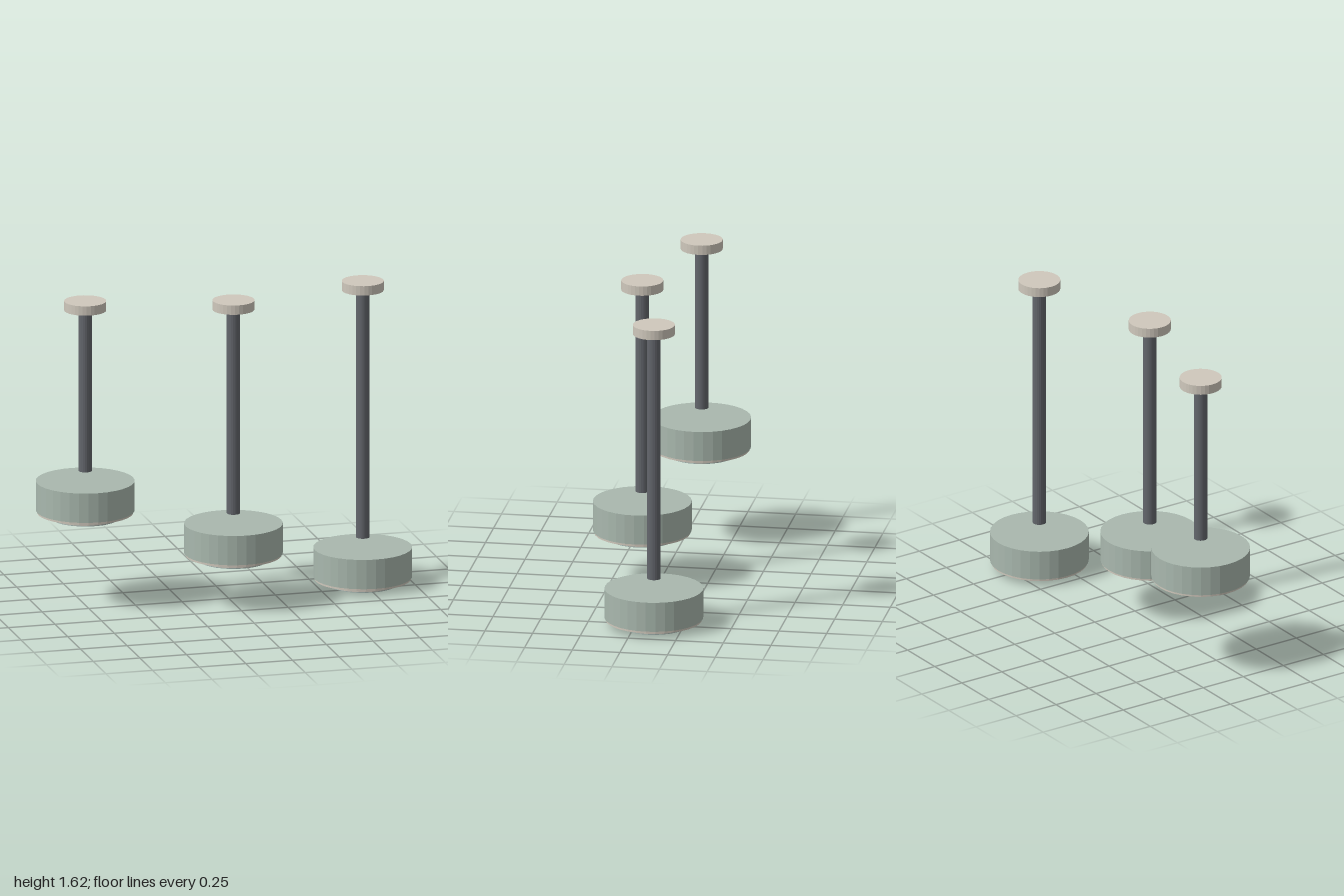
import * as THREE from 'three';

const material = (name, color) => {
  const m = new THREE.MeshStandardMaterial({ color, flatShading: true });
  m.name = name;
  return m;
};

export function createModel() {
  const sage = material('sage shade', 0xa9b8ae);
  const cream = material('warm cream', 0xcfc8bc);
  const graphite = material('graphite', 0x63666c);
  const glass = material('grey green lens', 0xa4b5b2);

  // Upright disc or rod between two heights
  const disc = (name, radius, bottom, top, mat, sides = 32) => {
    const mesh = new THREE.Mesh(
      new THREE.CylinderGeometry(radius, radius, top - bottom, sides), mat);
    mesh.name = name;
    mesh.position.y = (bottom + top) / 2;
    return mesh;
  };

  // One pendant: the shade hangs at its own height, the canopy stays level
  const pendant = (name, x, z, drop) => {
    const g = new THREE.Group();
    g.name = name;
    g.position.set(x, 0, z);
    g.add(
      disc('canopy', 0.109, 1.575, 1.625, cream),
      disc('rod', 0.035, drop + 0.25, 1.567, graphite, 20),
      disc('shade', 0.256, drop + 0.04, drop + 0.197, sage),
      disc('rim', 0.25, drop + 0.028, drop + 0.04, cream),
      disc('lensRing', 0.185, drop + 0.005, drop + 0.023, cream),
      disc('lens', 0.181, drop, drop + 0.005, glass)
    );
    return g;
  };

  const model = new THREE.Group();
  model.name = 'pendantLights';
  model.add(
    pendant('rightPendant', -0.744, -0.093, 0.464),
    pendant('middlePendant', 0, 0.093, 0.232),
    pendant('leftPendant', 0.744, -0.093, 0)
  );
  return model;
}
